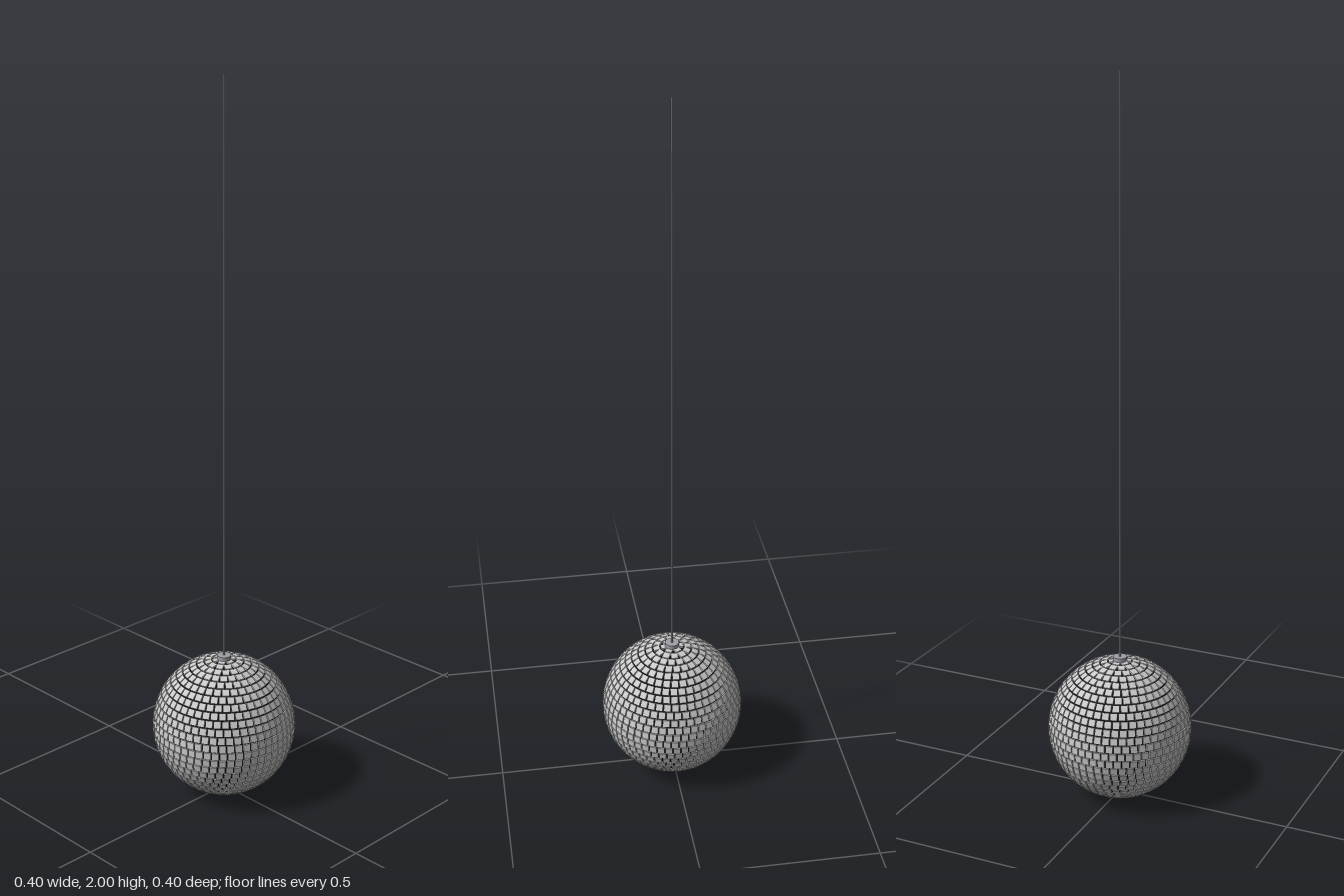
import * as THREE from 'three';
import { mergeGeometries } from 'three/addons/utils/BufferGeometryUtils.js';

const RADIUS = 0.2, RINGS = 28, CENTER_Y = 0.201;

function part(name, geometry, color, y) {
  const mesh = new THREE.Mesh(geometry, new THREE.MeshStandardMaterial({ color }));
  mesh.name = name;
  mesh.position.y = y;
  return mesh;
}

// Rings of small flat square tiles, each facing outward from the centre
function mirrorTiles() {
  const tiles = [];
  const pitch = (Math.PI * RADIUS) / RINGS;
  const size = pitch * 0.87;
  const holder = new THREE.Object3D();
  for (let i = 1; i < RINGS; i++) {
    const phi = (i / RINGS) * Math.PI;
    const count = Math.floor((2 * Math.PI * RADIUS * Math.sin(phi)) / pitch + 0.001);
    for (let j = 0; j < count; j++) {
      holder.position.setFromSphericalCoords(RADIUS - 0.002, phi, (j / count) * Math.PI * 2);
      holder.lookAt(holder.position.clone().multiplyScalar(2));
      holder.updateMatrix();
      tiles.push(new THREE.BoxGeometry(size, size, 0.005).applyMatrix4(holder.matrix));
    }
  }
  return mergeGeometries(tiles);
}

export function createModel() {
  const model = new THREE.Group();
  model.name = 'mirrorBall';

  // Dark sphere showing through the joints
  model.add(part('core', new THREE.SphereGeometry(RADIUS - 0.004, 64, 40), 0x111111, CENTER_Y));
  model.add(part('mirrorTiles', mirrorTiles(), 0xdddddd, CENTER_Y));

  // Hanging hardware
  model.add(part('cap', new THREE.CylinderGeometry(0.02, 0.02, 0.02, 24), 0xa0a0a8, 0.402));
  const bottom = 0.41, top = 2;
  model.add(part('wire', new THREE.CylinderGeometry(0.003, 0.003, top - bottom, 10), 0x888890, (top + bottom) / 2));

  return model;
}
